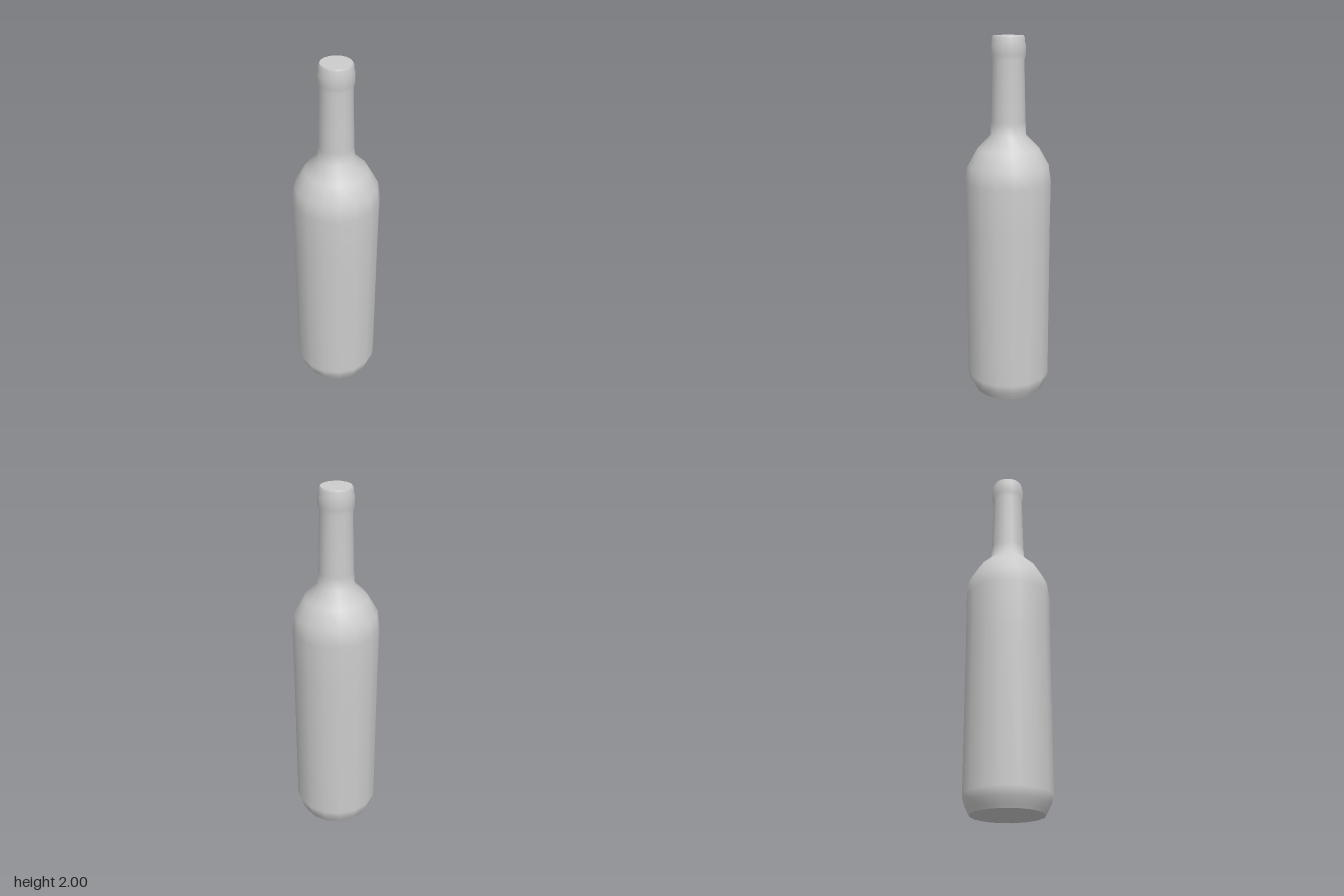
import * as THREE from 'three';

const SIDES = 16;

// Smooth surface of revolution from [radius, height] pairs, bottom to top
function lathe(name, profile, material) {
  const points = profile.map(([r, y]) => new THREE.Vector2(r, y));
  const mesh = new THREE.Mesh(new THREE.LatheGeometry(points, SIDES), material);
  mesh.name = name;
  return mesh;
}

export function createModel() {
  const grey = new THREE.MeshStandardMaterial({ color: 0xcccccc });
  grey.name = 'grey glass';

  const bottle = new THREE.Group();
  bottle.name = 'bottle';

  // Flat underside
  bottle.add(lathe('base', [[0, 0], [0.195, 0]], grey));

  // Rounded foot, straight body, shoulder, neck and lip in one smooth skin
  bottle.add(lathe('body', [
    [0.195, 0], [0.204, 0.018], [0.223, 0.055], [0.235, 0.1],
    [0.235, 0.97], [0.237, 1.22],
    [0.224, 1.31], [0.17, 1.405], [0.098, 1.478],
    [0.094, 1.55], [0.086, 1.875],
    [0.094, 1.9], [0.094, 1.952], [0.088, 1.966], [0.088, 1.988],
    [0.081, 2.0],
  ], grey));

  // Closed top
  bottle.add(lathe('top', [[0.081, 2], [0, 2]], grey));

  return bottle;
}
